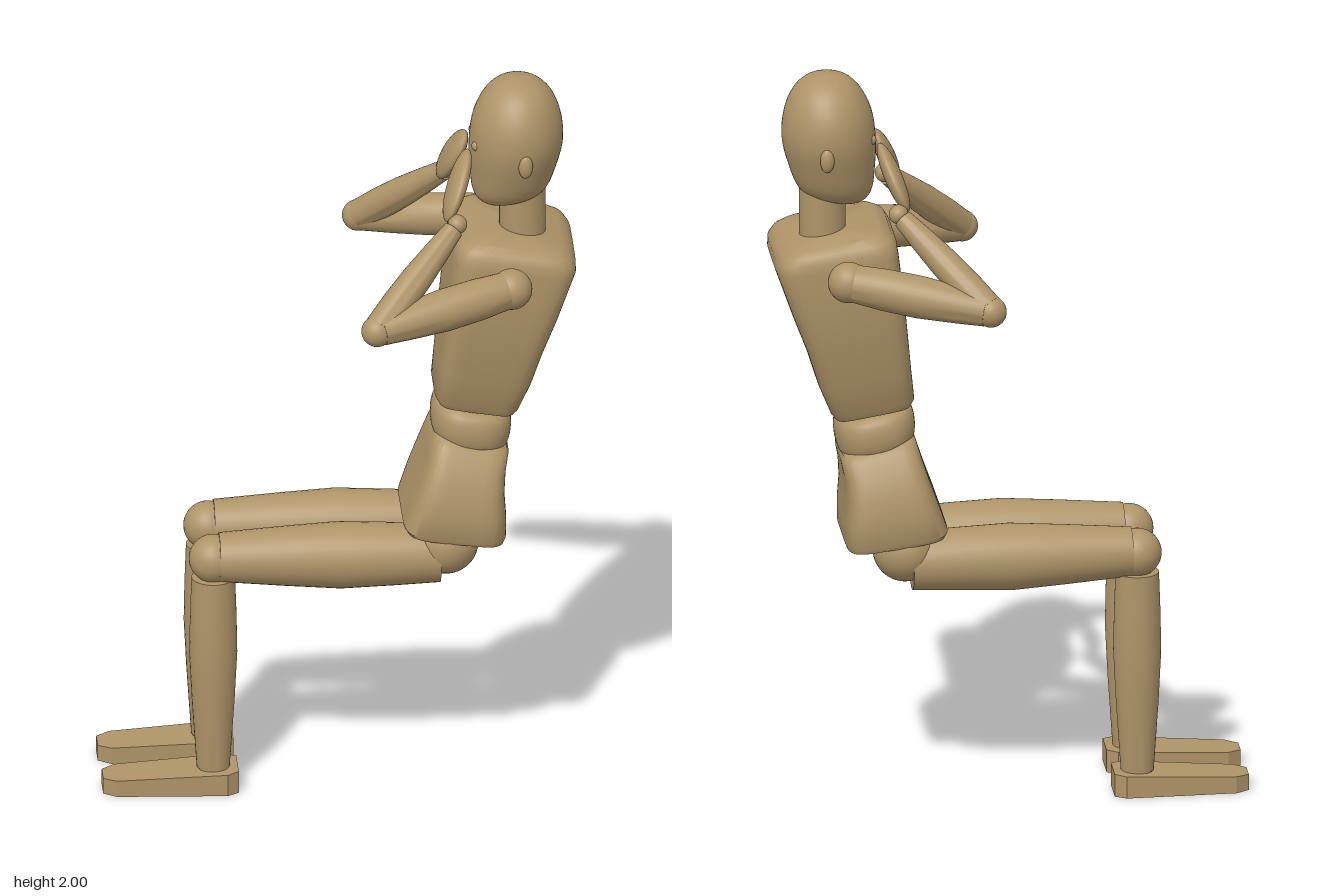
import * as THREE from 'three';
import { toCreasedNormals } from 'three/addons/utils/BufferGeometryUtils.js';

const wood = new THREE.MeshStandardMaterial({ color: 0xae9468 });
const V = (x, y, z) => new THREE.Vector3(x, y, z);

function part(name, geometry, parent) {
  const mesh = new THREE.Mesh(geometry, wood);
  mesh.name = name;
  parent.add(mesh);
  return mesh;
}

// Closed body through tilted superellipse rings, listed from bottom to top.
// Ring: [frontX, frontY, backX, backY, halfWidth]; a higher power is boxier.
function loft(rings, power, crease = 0.7, sides = 64) {
  const pos = [], idx = [];
  const bend = (v) => Math.sign(v) * Math.pow(Math.abs(v), 2 / power);
  for (const [fx, fy, bx, by, w] of rings) {
    for (let i = 0; i < sides; i++) {
      const a = (i / sides) * Math.PI * 2;
      const c = bend(Math.cos(a)), s = bend(Math.sin(a));
      pos.push((fx + bx) / 2 + (c * (bx - fx)) / 2, (fy + by) / 2 + (c * (by - fy)) / 2, s * w);
    }
  }
  const last = rings.length - 1;
  for (let j = 0; j < last; j++) {
    for (let i = 0; i < sides; i++) {
      const a = j * sides + i, b = j * sides + ((i + 1) % sides);
      idx.push(a, a + sides, b, b, a + sides, b + sides);
    }
  }
  for (const j of [0, last]) {
    const [fx, fy, bx, by] = rings[j];
    const centre = pos.length / 3;
    pos.push((fx + bx) / 2, (fy + by) / 2, 0);
    for (let i = 0; i < sides; i++) {
      const a = j * sides + i, b = j * sides + ((i + 1) % sides);
      if (j === 0) idx.push(centre, a, b);
      else idx.push(centre, b, a);
    }
  }
  const geo = new THREE.BufferGeometry();
  geo.setAttribute('position', new THREE.Float32BufferAttribute(pos, 3));
  geo.setIndex(idx);
  return toCreasedNormals(geo, crease);
}

// Resample rings along a smooth curve
function smoothRings(rings, steps) {
  const front = new THREE.CatmullRomCurve3(rings.map((r) => V(r[0], r[1], r[4])));
  const back = new THREE.CatmullRomCurve3(rings.map((r) => V(r[2], r[3], r[4])));
  return Array.from({ length: steps + 1 }, (_, i) => {
    const f = front.getPoint(i / steps), b = back.getPoint(i / steps);
    return [f.x, f.y, b.x, b.y, Math.max(f.z, 0.002)];
  });
}

// Turned limb from a to b; profile is [fraction of length, radius]
function limb(name, a, b, profile, parent) {
  const dir = b.clone().sub(a), len = dir.length();
  const pts = profile.map(([t, r]) => new THREE.Vector2(r, t * len));
  pts.unshift(new THREE.Vector2(0, pts[0].y));
  pts.push(new THREE.Vector2(0, pts[pts.length - 1].y));
  const mesh = part(name, toCreasedNormals(new THREE.LatheGeometry(pts, 32), 0.7), parent);
  mesh.position.copy(a);
  mesh.quaternion.setFromUnitVectors(V(0, 1, 0), dir.normalize());
}

function ball(name, p, r, parent, sx = 1, sy = 1, sz = 1) {
  const mesh = part(name, new THREE.SphereGeometry(r, 32, 20), parent);
  mesh.position.copy(p);
  mesh.scale.set(sx, sy, sz);
  return mesh;
}

// Wedge foot: chamfered plan, top sloping down to the toe
function foot(s, parent) {
  const plan = [[-0.635, -0.03], [-0.6, -0.055], [-0.305, -0.07], [-0.275, -0.05],
    [-0.275, 0.05], [-0.305, 0.07], [-0.6, 0.055], [-0.635, 0.03]];
  const shape = new THREE.Shape(plan.map(([x, z]) => new THREE.Vector2(x, z)));
  const geo = new THREE.ExtrudeGeometry(shape, { depth: 1, bevelEnabled: false });
  geo.rotateX(-Math.PI / 2);
  const p = geo.attributes.position;
  for (let i = 0; i < p.count; i++) {
    p.setY(i, p.getY(i) * (0.044 + (p.getX(i) + 0.635) * 0.05));
  }
  geo.computeVertexNormals();
  part('foot', geo, parent).position.z = s * 0.105;
}

function leg(s, parent) {
  const z = s * 0.106;
  const hip = V(0.28, 0.695, z), knee = V(-0.34, 0.665, z);
  ball('hipJoint', hip, 0.086, parent);
  limb('thigh', V(0.263, 0.662, z), V(-0.325, 0.668, z),
    [[0, 0.078], [0.2, 0.084], [0.45, 0.09], [0.7, 0.08], [1, 0.066]], parent);
  ball('kneeJoint', knee, 0.065, parent);
  limb('shin', V(-0.34, 0.612, z), V(-0.34, 0.06, z),
    [[0, 0.058], [0.2, 0.062], [0.4, 0.064], [0.65, 0.057], [0.95, 0.046], [1, 0.044]], parent);
  ball('ankleJoint', V(-0.34, 0.06, z), 0.042, parent);
  foot(s, parent);
}

function arm(s, parent) {
  const shoulder = V(0.445, 1.49, s * 0.243), elbow = V(0.078, 1.437, s * 0.37);
  const wrist = V(0.305, 1.655, s * 0.18);
  ball('shoulderJoint', shoulder, 0.055, parent);
  limb('upperArm', shoulder, elbow,
    [[0.03, 0.05], [0.25, 0.056], [0.5, 0.057], [0.75, 0.05], [0.97, 0.042]], parent);
  ball('elbowJoint', elbow, 0.042, parent);
  limb('forearm', elbow, wrist,
    [[0.03, 0.041], [0.25, 0.043], [0.5, 0.041], [0.75, 0.034], [0.95, 0.027]], parent);
  ball('wristJoint', wrist, 0.026, parent);

  // Flat paddle hand reaching up and in towards the face
  const hand = ball('hand', V(0.31, 1.732, s * 0.1), 1, parent, 0.105, 0.06, 0.024);
  const along = V(0.045, 0.11, -s * 0.1).normalize();
  const across = V(-0.9, 0.4, 0).cross(along).normalize();
  const normal = along.clone().cross(across);
  hand.quaternion.setFromRotationMatrix(new THREE.Matrix4().makeBasis(along, across, normal));
}

export function createModel() {
  const model = new THREE.Group();
  model.name = 'seatedMannequin';

  part('head', loft(smoothRings([
    [0.42, 1.638, 0.47, 1.65, 0.015], [0.385, 1.642, 0.525, 1.662, 0.06],
    [0.36, 1.67, 0.555, 1.685, 0.09], [0.35, 1.74, 0.58, 1.745, 0.118],
    [0.348, 1.82, 0.598, 1.82, 0.139], [0.358, 1.89, 0.593, 1.89, 0.134],
    [0.385, 1.95, 0.57, 1.95, 0.105], [0.42, 1.985, 0.535, 1.985, 0.065],
    [0.47, 2, 0.485, 2, 0.006],
  ], 40), 2, 1.2, 48), model);
  limb('neck', V(0.49, 1.53, 0), V(0.49, 1.72, 0), [[0, 0.062], [1, 0.062]], model);

  part('chest', loft([
    [0.28, 1.085, 0.44, 1.052, 0.1], [0.262, 1.09, 0.463, 1.055, 0.12],
    [0.252, 1.11, 0.475, 1.07, 0.13], [0.262, 1.2, 0.508, 1.15, 0.154],
    [0.272, 1.3, 0.54, 1.25, 0.176], [0.282, 1.4, 0.578, 1.35, 0.191],
    [0.298, 1.53, 0.626, 1.485, 0.195], [0.302, 1.555, 0.625, 1.51, 0.193],
    [0.315, 1.575, 0.612, 1.53, 0.185], [0.345, 1.59, 0.59, 1.545, 0.165],
  ], 6), model);
  part('waist', loft(smoothRings([
    [0.29, 0.965, 0.41, 0.935, 0.09], [0.252, 0.985, 0.445, 0.948, 0.125],
    [0.245, 1.025, 0.458, 0.99, 0.135], [0.256, 1.07, 0.455, 1.035, 0.126],
    [0.29, 1.09, 0.42, 1.06, 0.09],
  ], 16), 2.6, 1.0), model);
  part('pelvis', loft([
    [0.19, 0.734, 0.415, 0.7, 0.17], [0.172, 0.738, 0.435, 0.702, 0.186],
    [0.166, 0.75, 0.44, 0.715, 0.192], [0.19, 0.82, 0.44, 0.775, 0.195],
    [0.212, 0.88, 0.436, 0.835, 0.186], [0.232, 0.94, 0.44, 0.895, 0.164],
    [0.246, 0.985, 0.449, 0.94, 0.137], [0.256, 0.998, 0.444, 0.955, 0.125],
    [0.275, 1.002, 0.425, 0.965, 0.105],
  ], 5.5), model);

  // Mirrored parts: +z is the figure's own left
  for (const [s, side] of [[1, 'left'], [-1, 'right']]) {
    const group = (name) => {
      const g = new THREE.Group();
      g.name = side + name;
      model.add(g);
      return g;
    };
    arm(s, group('Arm'));
    leg(s, group('Leg'));
    const face = group('Face');
    ball('ear', V(0.49, 1.795, s * 0.132), 1, face, 0.019, 0.034, 0.016);
    ball('eye', V(0.365, 1.825, s * 0.055), 0.014, face);
  }
  return model;
}
